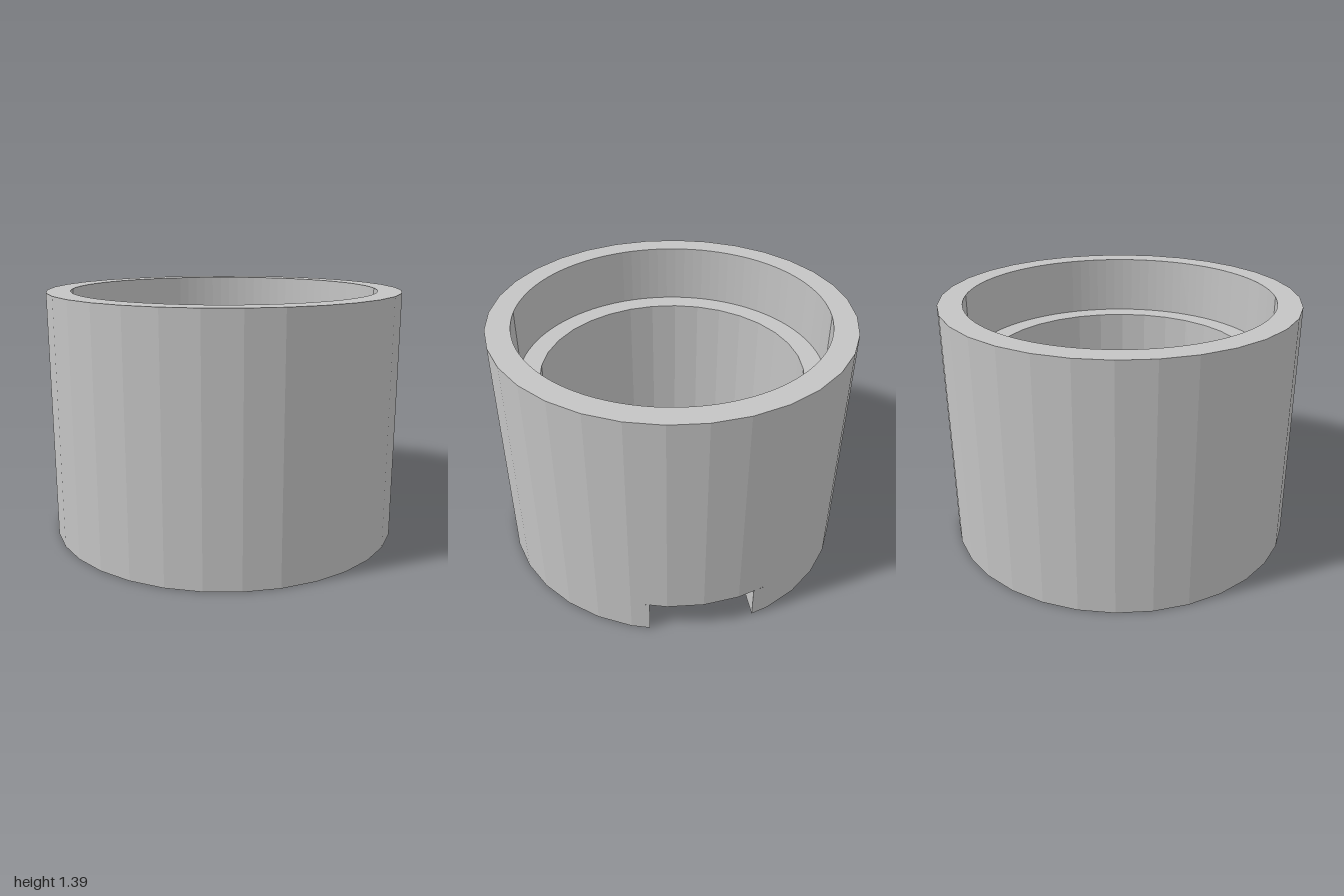
import * as THREE from 'three';

const HEIGHT = 1.39, LEDGE = 1.05, CEILING = 0.187, FLOOR = 0.17;
const OUTER = 1, BORE = 0.745, RECESS = 0.865;
const HALF = 0.285, NOTCH_FRONT = -0.24, NOTCH_BACK = -0.954; // rectangular notch

// Points [x, z] on a regular polygon, starting at the back and going towards +x
function arc(radius, sides, from, to) {
  const points = [];
  for (let i = from; i <= to; i++) {
    const a = (i / sides) * Math.PI * 2;
    points.push([radius * Math.sin(a), -radius * Math.cos(a)]);
  }
  return points;
}

// Vertical strip along a path, faceted
function band(path, y0, y1) {
  const v = [];
  for (let i = 0; i < path.length - 1; i++) {
    const [ax, az] = path[i], [bx, bz] = path[i + 1];
    v.push(ax, y0, az, ax, y1, az, bx, y1, bz);
    v.push(ax, y0, az, bx, y1, bz, bx, y0, bz);
  }
  const g = new THREE.BufferGeometry();
  g.setAttribute('position', new THREE.Float32BufferAttribute(v, 3));
  g.computeVertexNormals();
  return g;
}

// Horizontal face at height y, facing up or down, with an optional hole
function plate(outline, y, up, hole) {
  const toVectors = (pts) => pts.map(([x, z]) => new THREE.Vector2(x, -z));
  const shape = new THREE.Shape(toVectors(outline));
  if (hole) shape.holes.push(new THREE.Path(toVectors(hole)));
  const g = new THREE.ShapeGeometry(shape);
  g.rotateX(-Math.PI / 2).translate(0, y, 0);
  if (!up) g.index.array.reverse();
  g.computeVertexNormals();
  return g;
}

export function createModel() {
  const group = new THREE.Group();
  group.name = 'notchedCup';
  const grey = new THREE.MeshStandardMaterial({ color: 0xc4c4c4 });
  grey.name = 'grey';
  const add = (name, geometry) => {
    const mesh = new THREE.Mesh(geometry, grey);
    mesh.name = name;
    group.add(mesh);
  };

  const outer = arc(OUTER, 32, 0, 32);
  const bore = arc(BORE, 32, 0, 32);
  const recess = arc(RECESS, 96, 0, 96);
  const open = (loop) => loop.slice(0, -1);

  // Outlines interrupted by the notch
  const outerOpen = [[HALF, NOTCH_BACK], ...arc(OUTER, 32, 2, 30), [-HALF, NOTCH_BACK]];
  const boreOpen = arc(BORE, 32, 2, 30);
  const boreStart = boreOpen[0], boreEnd = boreOpen[boreOpen.length - 1];
  const notchFront = [[-HALF, NOTCH_FRONT], [HALF, NOTCH_FRONT]];

  // Outside wall
  add('outerWall', band(outer, CEILING, HEIGHT));
  add('outerWallBase', band([boreStart, ...outerOpen, boreEnd], 0, CEILING));

  // Stepped inside, walls facing the axis
  add('recessWall', band([...recess].reverse(), LEDGE, HEIGHT));
  add('boreWall', band([...bore].reverse(), CEILING, LEDGE));
  add('boreWallBase', band([...boreOpen].reverse(), FLOOR, CEILING));

  // Notch through the floor and under the back wall
  add('notchWall', band([boreEnd, ...notchFront, boreStart], 0, FLOOR));
  add('notchCeiling', plate([
    [-HALF, NOTCH_BACK], ...arc(OUTER, 32, -1, 1), [HALF, NOTCH_BACK],
    ...arc(BORE, 32, -2, 2).reverse(),
  ], CEILING, false));

  // Level faces
  add('rim', plate(open(outer), HEIGHT, true, open(recess)));
  add('ledge', plate(open(recess), LEDGE, true, open(bore)));
  add('floor', plate([...boreOpen, ...notchFront], FLOOR, true));
  add('underside', plate([...outerOpen, ...notchFront], 0, false));
  return group;
}
